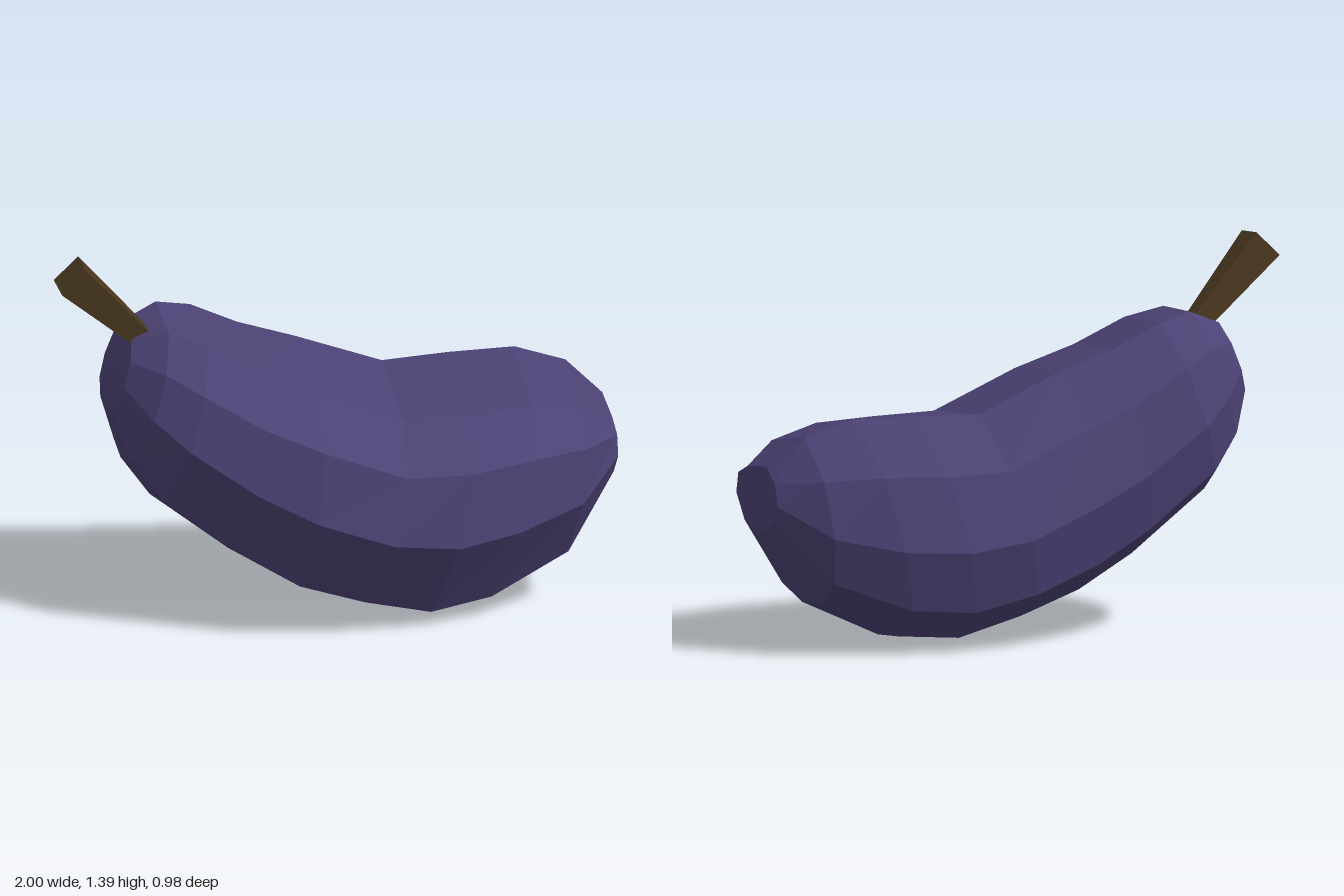
import * as THREE from 'three';

// Cross-sections along the body: top x, top y, bottom x, bottom y, back z, front z
const SECTIONS = [
  [-0.73, 1.09, -0.82, 0.80, -0.25, 0.08],
  [-0.61, 1.14, -0.77, 0.62, -0.34, 0.23],
  [-0.48, 1.11, -0.67, 0.48, -0.41, 0.33],
  [-0.31, 1.03, -0.39, 0.26, -0.43, 0.40],
  [-0.10, 0.96, -0.19, 0.14, -0.45, 0.47],
  [0.22, 0.83, 0.04, 0.065, -0.49, 0.485],
  [0.46, 0.84, 0.28, 0.0, -0.49, 0.475],
  [0.70, 0.845, 0.51, 0.02, -0.45, 0.40],
  [0.88, 0.79, 0.81, 0.16, -0.38, 0.31],
  [1.00, 0.68, 1.00, 0.44, -0.23, 0.15],
];

// Outline of one section: across (-1 back, 1 front) and up (0 bottom, 1 top)
const RING = [
  [-0.45, 1], [-0.86, 0.77], [-1, 0.45], [-0.85, 0.18], [-0.38, 0.03],
  [0.1, 0], [0.6, 0.07], [1, 0.44], [0.9, 0.75], [0.47, 0.97],
];

function bodyGeometry() {
  const rows = SECTIONS.length, n = RING.length;
  const pos = [], idx = [];
  SECTIONS.forEach(([tx, ty, bx, by, zb, zf], i) => {
    RING.forEach(([u, v], j) => {
      // the front ridge sinks gradually towards the thick end
      const h = j === n - 1 ? v - 0.08 * i / (rows - 1) : v;
      pos.push(
        THREE.MathUtils.lerp(bx, tx, h),
        THREE.MathUtils.lerp(by, ty, h),
        (zb + zf) / 2 + u * (zf - zb) / 2
      );
    });
  });
  for (let i = 0; i < rows - 1; i++) {
    for (let j = 0; j < n; j++) {
      const k = (j + 1) % n;
      const a = i * n + j, b = a + n, c = (i + 1) * n + k, d = i * n + k;
      idx.push(a, b, c, a, c, d);
    }
  }
  // closed ends
  const left = rows * n, right = left + 1, last = (rows - 1) * n;
  pos.push(-0.81, 0.94, -0.09, 1.0, 0.56, -0.04);
  for (let j = 0; j < n; j++) {
    const k = (j + 1) % n;
    idx.push(left, j, k, right, last + k, last + j);
  }
  const geo = new THREE.BufferGeometry();
  geo.setAttribute('position', new THREE.Float32BufferAttribute(pos, 3));
  geo.setIndex(idx);
  const flat = geo.toNonIndexed();
  flat.computeVertexNormals();
  return flat;
}

function createStem(material) {
  const base = new THREE.Vector3(-0.69, 1.07, -0.04);
  const tip = new THREE.Vector3(-0.957, 1.338, -0.005);
  const dir = tip.clone().sub(base);
  const geo = new THREE.CylinderGeometry(0.087, 0.05, dir.length(), 4);
  geo.rotateY(Math.PI / 4);
  const stem = new THREE.Mesh(geo, material);
  stem.position.copy(base).add(tip).multiplyScalar(0.5);
  stem.quaternion.setFromUnitVectors(new THREE.Vector3(0, 1, 0), dir.normalize());
  stem.name = 'stem';
  return stem;
}

export function createModel() {
  const group = new THREE.Group();
  group.name = 'eggplant';

  const skin = new THREE.MeshStandardMaterial({ color: 0x4b4173, flatShading: true });
  const wood = new THREE.MeshStandardMaterial({ color: 0x4a3820, flatShading: true });

  const body = new THREE.Mesh(bodyGeometry(), skin);
  body.name = 'body';
  group.add(body, createStem(wood));
  return group;
}
